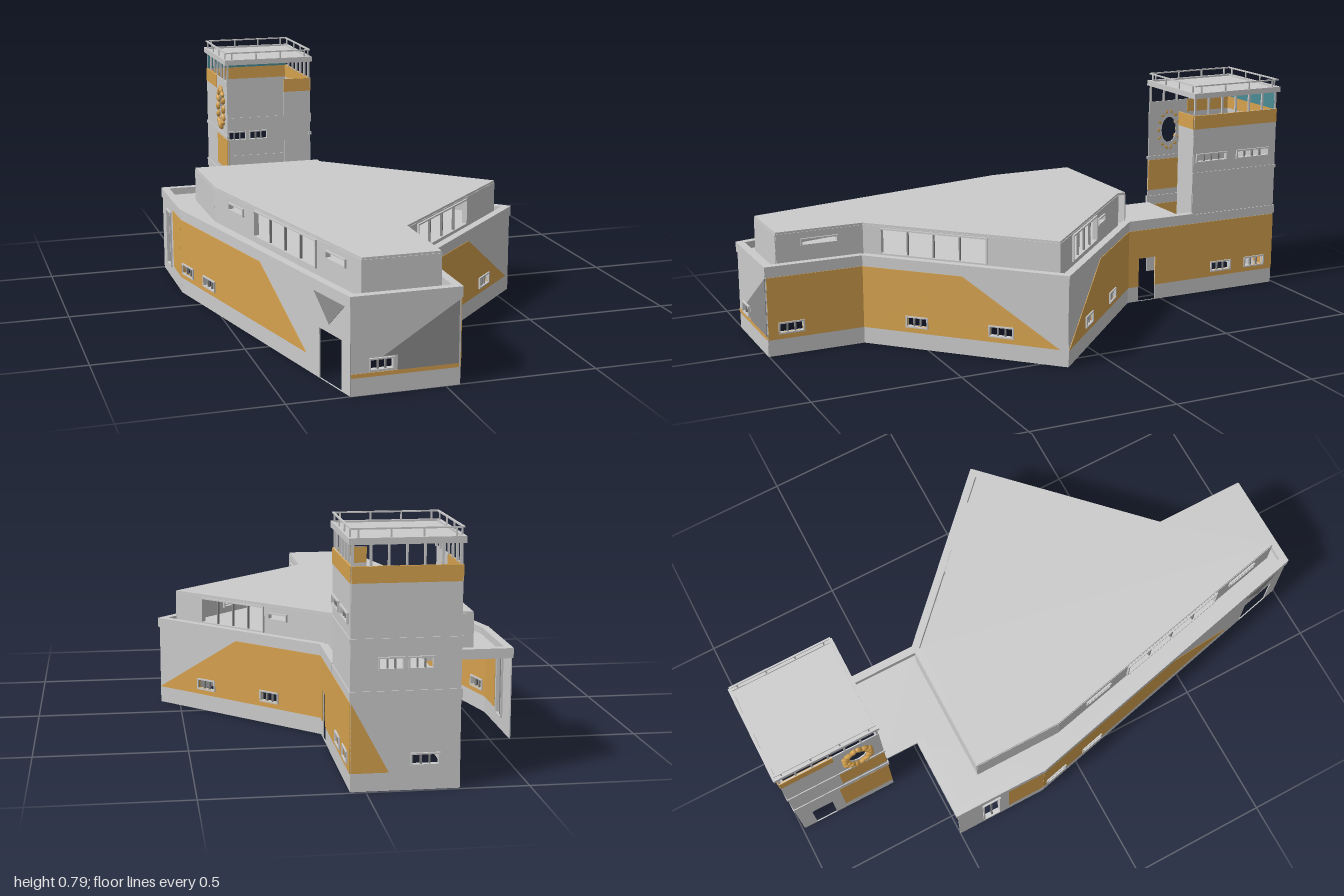
import * as THREE from 'three';

const mat = (name, color, side = THREE.DoubleSide) => {
  const m = new THREE.MeshStandardMaterial({ color, side });
  m.name = name;
  return m;
};

export function createModel() {
  const grey = mat('concreteGrey', 0xcbcbcb);
  const gold = mat('goldPaint', 0xd6a24e);
  const dark = mat('darkGreyPaint', 0x8e8e8e);
  const teal = mat('tealGlass', 0x4a8a94, THREE.FrontSide);
  const root = new THREE.Group();
  root.name = 'building';

  const add = (parent, name, geo, m, x = 0, y = 0, z = 0) => {
    const mesh = new THREE.Mesh(geo, m);
    mesh.name = name;
    mesh.position.set(x, y, z);
    parent.add(mesh);
    return mesh;
  };
  const box = (parent, name, m, w, h, d, x, y, z) =>
    add(parent, name, new THREE.BoxGeometry(w, h, d), m, x, y, z);
  const shapeOf = pts => new THREE.Shape(pts.map(p => new THREE.Vector2(p[0], p[1])));
  const rect = (a, b, y0, y1) => [[a, y0], [b, y0], [b, y1], [a, y1]];
  const plate = (pts, holes, t) => {
    const s = shapeOf(pts);
    holes.forEach(h => s.holes.push(shapeOf(h)));
    return new THREE.ExtrudeGeometry(s, { depth: t, bevelEnabled: false }).translate(0, 0, -t / 2);
  };
  // horizontal slab from a plan outline of [x, z] points
  const slab = (name, pts, y, t, m) => {
    const g = new THREE.ExtrudeGeometry(shapeOf(pts.map(p => [p[0], -p[1]])), { depth: t, bevelEnabled: false });
    add(root, name, g.rotateX(-Math.PI / 2), m, 0, y, 0);
  };

  // Thin wall from plan point a to b. Positions along it are world z (world x when z is constant).
  // windows: [from, to, y0, y1, mullions]; gaps: plain openings; paint: [material, polygon]
  const wall = (name, a, b, y0, y1, { windows = [], gaps = [], paint = [] } = {}) => {
    const dx = b[0] - a[0], dz = b[1] - a[1], L = Math.hypot(dx, dz);
    const k = Math.abs(dz) > 1e-6 ? 1 : 0;
    const u = c => (c - a[k]) / (b[k] - a[k]) * L;
    const conv = pts => pts.map(p => [u(p[0]), p[1]]);
    const g = new THREE.Group();
    g.name = name;
    g.position.set(a[0], 0, a[1]);
    g.rotation.y = -Math.atan2(dz, dx);
    root.add(g);
    const holes = [...windows.map(w => rect(...w.slice(0, 4))), ...gaps].map(conv);
    add(g, name + 'Panel', plate(rect(0, L, y0, y1), holes, 0.004), grey);
    for (const [m, pts] of paint) {
      const poly = conv(pts);
      const inside = ([x, y]) => {
        let hit = false;
        poly.forEach(([xi, yi], i) => {
          const [xj, yj] = poly[(i + 1) % poly.length];
          if ((yi > y) !== (yj > y) && x < (xj - xi) * (y - yi) / (yj - yi) + xi) hit = !hit;
        });
        return hit;
      };
      add(g, name + 'Paint', plate(poly, holes.filter(h => h.every(inside)), 0.008), m);
    }
    for (const [c0, c1, h0, h1, n = 2] of windows) {
      const p = Math.min(u(c0), u(c1)), q = Math.max(u(c0), u(c1)), f = 0.005;
      add(g, 'windowFrame', plate(rect(p - f, q + f, h0 - f, h1 + f), [rect(p, q, h0, h1)], 0.018), grey);
      for (let i = 1; i <= n; i++)
        box(g, 'mullion', dark, 0.005, h1 - h0, 0.008, p + (q - p) * i / (n + 1), (h0 + h1) / 2, 0);
    }
  };

  // Ground storey walls
  const A = [-0.57, -0.5], B = [-0.57, -0.16], C = [-0.3, 1], D = [0.045, 1], E = [0.045, 0.665],
    F = [0.565, 0.15], G = [0.045, -0.36], H = [0.045, -0.63], K = [0.045, -0.99];
  const low = (a, b) => [a, b, 0.08, 0.11];
  const lo = 0.057, hi = 0.272;
  wall('leftStraightWall', A, B, 0, 0.31, {
    windows: [[-0.4, -0.34, 0.05, 0.25, 1]], paint: [[gold, rect(-0.3, -0.16, lo, hi)]] });
  wall('leftLongWall', B, C, 0, 0.31, {
    windows: [low(-0.14, -0.06), low(0.03, 0.11)],
    gaps: [rect(0.82, 0.95, 0.001, 0.162)],
    paint: [[gold, [[-0.16, lo], [0.74, lo], [0.44, hi], [-0.16, hi]]],
      [dark, [[0.79, hi], [0.97, hi], [0.88, 0.19]]]] });
  wall('frontWall', C, D, 0, 0.31, {
    windows: [low(-0.24, -0.17)],
    paint: [[gold, rect(-0.3, 0.04, lo, 0.07)],
      [dark, [[-0.155, 0.07], [0.04, 0.07], [0.04, 0.27], [-0.2, 0.118], [-0.155, 0.118]]]] });
  wall('rightFrontWall', D, E, 0, 0.31, {
    windows: [low(0.88, 0.96)], paint: [[gold, rect(1, 0.665, lo, hi)]] });
  wall('prowFrontWall', E, F, 0, 0.31, {
    windows: [low(0.55, 0.5), low(0.34, 0.285)],
    paint: [[gold, [[0.665, lo], [0.17, lo], [0.41, hi], [0.665, hi]]]] });
  wall('prowBackWall', F, G, 0, 0.31, {
    windows: [low(0.02, -0.03), low(-0.18, -0.23)],
    paint: [[gold, [[0.15, lo], [-0.36, lo], [-0.36, hi], [-0.1, hi]]]] });
  wall('rightBackWall', G, H, 0, 0.31, {
    gaps: [rect(-0.405, -0.475, 0.001, 0.165)],
    paint: [[gold, [[-0.36, lo], [-0.405, lo], [-0.405, 0.165], [-0.475, 0.165], [-0.475, lo],
      [-0.63, lo], [-0.63, hi], [-0.36, hi]]]] });

  // Deck and parapet rim
  const deck = [A, B, C, D, E, F, G, [0.045, -0.625], [-0.27, -0.625], [-0.27, -0.5]];
  slab('deck', deck, 0.278, 0.008, grey);
  const rim = (a, b, y, h, w) => {
    const dx = b[0] - a[0], dz = b[1] - a[1], L = Math.hypot(dx, dz), o = w / 2 - 0.006;
    const m = box(root, 'parapetRim', grey, L + 0.008, h, w,
      (a[0] + b[0]) / 2 + dz / L * o, y, (a[1] + b[1]) / 2 - dx / L * o);
    m.rotation.y = -Math.atan2(dz, dx);
  };
  [A, B, C, D, E, F, G].forEach((p, i, l) => rim(p, l[i + 1] || H, 0.294, 0.034, 0.027));
  rim([-0.27, -0.5], A, 0.294, 0.034, 0.027);

  // Upper storey
  const a = [-0.47, -0.37], b = [-0.47, -0.05], c = [-0.25, 0.95], d = [0, 0.95], e = [0, 0.645],
    f = [0.505, 0.15], g = [0, -0.34], h = [0, -0.37];
  const up = (name, p, q, windows = []) => wall(name, p, q, 0.284, 0.403, { windows });
  up('upperLeftWall', a, b);
  up('upperLongWall', b, c, [[0.08, 0.18, 0.36, 0.378, 0], [0.27, 0.68, 0.312, 0.394, 3], [0.75, 0.86, 0.36, 0.378, 0]]);
  up('upperFrontWall', c, d);
  up('upperRightWall', d, e, [[0.86, 0.74, 0.36, 0.376, 0]]);
  up('upperProwFrontWall', e, f, [[0.595, 0.33, 0.312, 0.394, 3]]);
  up('upperProwBackWall', f, g, [[0.06, -0.13, 0.312, 0.394, 3], [-0.15, -0.2, 0.36, 0.376, 0]]);
  up('upperBackWall', h, a);
  slab('upperRoof', [a, b, c, d, e, f, g, h], 0.401, 0.009, grey);

  // Tower walls, open toward the main building
  const T = [-0.285, -0.63], S = [-0.285, -0.99];
  const band = (p, q) => [gold, rect(p, q, 0.63, 0.68)];
  wall('towerRightWall', H, K, 0, 0.68, {
    windows: [low(-0.72, -0.8), low(-0.87, -0.95), [-0.645, -0.77, 0.508, 0.532, 3], [-0.82, -0.955, 0.508, 0.532, 3]],
    paint: [[gold, rect(-0.63, -0.99, lo, hi)], band(-0.63, -0.99)] });
  wall('towerBackWall', K, S, 0, 0.68, {
    windows: [low(-0.14, -0.22), [-0.04, -0.11, 0.375, 0.405, 2], [-0.13, -0.2, 0.375, 0.405, 2]],
    paint: [[gold, [[0.045, lo], [-0.07, lo], [0.045, hi]]], band(0.045, -0.285)] });
  const oval = (rz, ry, n) => Array.from({ length: n }, (_, i) =>
    [-0.72 + rz * Math.cos(i / n * 2 * Math.PI), 0.565 + ry * Math.sin(i / n * 2 * Math.PI)]);
  wall('towerLeftWall', S, T, 0, 0.68, {
    gaps: [rect(-0.94, -0.86, 0.001, 0.162), oval(0.033, 0.05, 16)],
    paint: [[gold, rect(-0.82, -0.63, lo, hi)], [gold, rect(-0.8, -0.63, 0.33, 0.45)],
      [gold, rect(-0.99, -0.8, 0.63, 0.68)]] });
  wall('towerFrontReturn', [-0.06, -0.63], H, 0, 0.68, { paint: [band(-0.06, 0.045)] });

  // Plain wreath of leaves on the tower's left wall
  oval(0.046, 0.072, 14).forEach(([z, y], i) => {
    const leaf = add(root, 'wreathLeaf', new THREE.SphereGeometry(0.018, 6, 4), gold, -0.291, y, z);
    leaf.scale.set(0.6, 1, 0.7);
    leaf.rotation.x = i * 0.9;
  });

  // Ledges round the three closed sides
  for (const y of [0.292, 0.46]) {
    const t = y < 0.3 ? 0.03 : 0.012;
    box(root, 'towerLedge', grey, 0.01, t, 0.37, 0.045, y, -0.81);
    box(root, 'towerLedge', grey, 0.01, t, 0.37, -0.285, y, -0.81);
    box(root, 'towerLedge', grey, 0.34, t, 0.01, -0.12, y, -0.99);
  }

  // Lookout posts, glass and roof
  for (let i = 0; i <= 6; i++) {
    const z = -0.635 - i * 0.0585, x = 0.04 - i * 0.0533;
    for (const px of [0.042, -0.282]) box(root, 'lookoutPost', grey, 0.007, 0.07, 0.007, px, 0.713, z);
    box(root, 'lookoutPost', grey, 0.007, 0.07, 0.007, x, 0.713, -0.986);
  }
  add(root, 'lookoutGlass', new THREE.PlaneGeometry(0.33, 0.068), teal, -0.12, 0.713, -0.981);
  box(root, 'lookoutRoof', grey, 0.345, 0.012, 0.37, -0.12, 0.752, -0.813);
  // raised roof edge
  for (const s of [-1, 1]) {
    box(root, 'roofEdge', grey, 0.012, 0.02, 0.375, -0.12 + s * 0.168, 0.754, -0.8125);
    box(root, 'roofEdge', grey, 0.345, 0.02, 0.012, -0.12, 0.754, -0.8125 + s * 0.1815);
  }

  // Roof railing
  for (const s of [-1, 1]) {
    const x = -0.12 + s * 0.166, z = -0.8125 + s * 0.179;
    box(root, 'railing', grey, 0.006, 0.005, 0.364, x, 0.79, -0.8125);
    box(root, 'railing', grey, 0.338, 0.005, 0.006, -0.12, 0.79, z);
    for (let i = 0; i < 4; i++) {
      const k = (i - 1.5) / 1.5;
      box(root, 'railPost', grey, 0.005, 0.03, 0.005, x, 0.775, -0.8125 + k * 0.155);
      box(root, 'railPost', grey, 0.005, 0.03, 0.005, -0.12 + k * 0.145, 0.775, z);
    }
  }
  return root;
}
